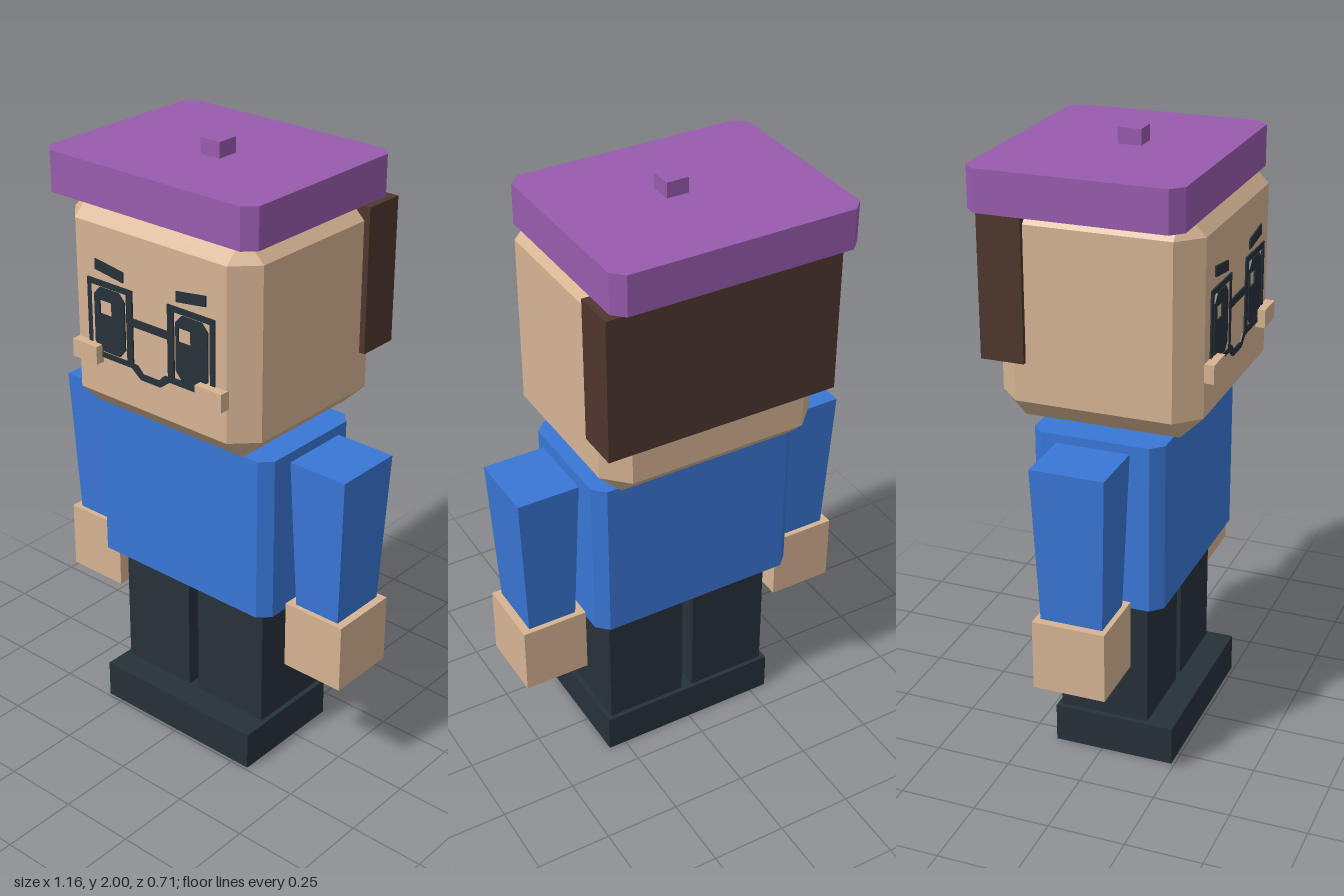
import * as THREE from 'three';
import { ConvexGeometry } from 'three/addons/geometries/ConvexGeometry.js';

const material = (name, color) => {
  const m = new THREE.MeshStandardMaterial({ color });
  m.name = name;
  return m;
};

export function createModel() {
  const skin = material('skin', 0xd6b493);
  const blue = material('shirtBlue', 0x3977d6);
  const purple = material('hatPurple', 0x985cae);
  const brown = material('hairBrown', 0x4e362e);
  const dark = material('darkSlate', 0x263139);

  const model = new THREE.Group();
  model.name = 'blockFigure';
  const add = (name, geometry, mat, parent = model) => {
    const mesh = new THREE.Mesh(geometry, mat);
    mesh.name = name;
    parent.add(mesh);
    return mesh;
  };

  // Plain box from its limits on each axis
  const box = (x0, x1, y0, y1, z0, z1) =>
    new THREE.BoxGeometry(x1 - x0, y1 - y0, z1 - z0)
      .translate((x0 + x1) / 2, (y0 + y1) / 2, (z0 + z1) / 2);

  // Box with its four upright edges cut
  const cutBox = (x0, x1, y0, y1, z0, z1, c) => {
    const points = [];
    for (const y of [y0, y1])
      for (const [x, dx] of [[x0, c], [x1, -c]])
        for (const [z, dz] of [[z0, c], [z1, -c]])
          points.push(new THREE.Vector3(x + dx, y, z), new THREE.Vector3(x, y, z + dz));
    return new ConvexGeometry(points);
  };

  // Box with all twelve edges cut
  const bevelBox = (x0, x1, y0, y1, z0, z1, c) => {
    const points = [];
    for (const [x, dx] of [[x0, c], [x1, -c]])
      for (const [y, dy] of [[y0, c], [y1, -c]])
        for (const [z, dz] of [[z0, c], [z1, -c]])
          points.push(
            new THREE.Vector3(x, y + dy, z + dz),
            new THREE.Vector3(x + dx, y, z + dz),
            new THREE.Vector3(x + dx, y + dy, z));
    return new ConvexGeometry(points);
  };

  // Shoes, torso, head, hair and hat
  add('shoes', box(-0.31, 0.31, 0, 0.13, -0.16, 0.24), dark);
  add('torso', cutBox(-0.358, 0.357, 0.577, 1.127, -0.206, 0.216, 0.037), blue);
  add('head', bevelBox(-0.37, 0.366, 1.15, 1.848, -0.318, 0.325, 0.073), skin);
  add('hair', box(-0.386, 0.386, 1.35, 1.82, -0.347, -0.208), brown);
  add('hat', cutBox(-0.452, 0.36, 1.82, 1.95, -0.357, 0.304, 0.037), purple);
  add('hatNub', box(-0.056, 0.017, 1.95, 2, -0.037, 0.037), purple);

  // Legs, tapered sleeves and hands
  for (const [side, s] of [['left', 1], ['right', -1]]) {
    add(side + 'Leg', box(0.02, 0.293, 0.13, 0.577, -0.145, 0.15).translate(s < 0 ? -0.313 : 0, 0, 0), dark);

    const sleeve = new THREE.BoxGeometry(0.204, 0.505, 0.236);
    const p = sleeve.attributes.position;
    for (let i = 0; i < p.count; i++)
      if (p.getY(i) < 0) p.setXYZ(i, p.getX(i) * 0.8, p.getY(i), p.getZ(i) * 0.85);
    sleeve.computeVertexNormals();
    add(side + 'Sleeve', sleeve, blue).position.set(s * 0.471, 0.8525, 0.003);
    add(side + 'Hand', box(-0.109, 0.109, 0.37, 0.6, -0.115, 0.12), skin).position.x = s * 0.47;
  }

  // Face details: thin plates on the front of the head
  const face = new THREE.Group();
  face.name = 'face';
  face.position.z = 0.323;
  model.add(face);
  const toPath = (PathType, pts) => new PathType(pts.map(([x, y]) => new THREE.Vector2(x, y)));
  const rect = (x0, x1, y0, y1) => [[x0, y0], [x1, y0], [x1, y1], [x0, y1]];
  const plate = (name, outline, hole) => {
    const shape = toPath(THREE.Shape, outline);
    if (hole) shape.holes.push(toPath(THREE.Path, hole));
    add(name, new THREE.ExtrudeGeometry(shape, { depth: 0.007, bevelEnabled: false }), dark, face);
  };

  for (const [side, s] of [['left', 1], ['right', -1]]) {
    const mx = (pts) => pts.map(([x, y]) => [s * x, y]);
    plate(side + 'LensFrame', mx(rect(0.07, 0.252, 1.353, 1.602)), mx(rect(0.094, 0.234, 1.372, 1.584)));
    // Eye with cut corners and a highlight opening
    const h = s > 0 ? 0.112 : -0.203;
    plate(side + 'Eye', mx([
      [0.125, 1.374], [0.202, 1.374], [0.225, 1.4], [0.225, 1.555],
      [0.202, 1.58], [0.125, 1.58], [0.102, 1.555], [0.102, 1.4],
    ]), rect(h, h + 0.048, 1.495, 1.54));
    plate(side + 'Eyebrow', mx([[0.105, 1.618], [0.218, 1.634], [0.218, 1.667], [0.105, 1.651]]));
    add(side + 'Cheek', box(-0.05, 0.05, 1.335, 1.394, -0.01, 0.032), skin, face).position.x = s * 0.248;
  }
  plate('glassesBridge', rect(-0.072, 0.072, 1.49, 1.515));
  plate('mouth', [
    [-0.075, 1.352], [-0.04, 1.325], [0.04, 1.325], [0.075, 1.352],
    [0.075, 1.368], [0.055, 1.368], [0.032, 1.345], [-0.032, 1.345], [-0.055, 1.368], [-0.075, 1.368],
  ]);

  return model;
}
